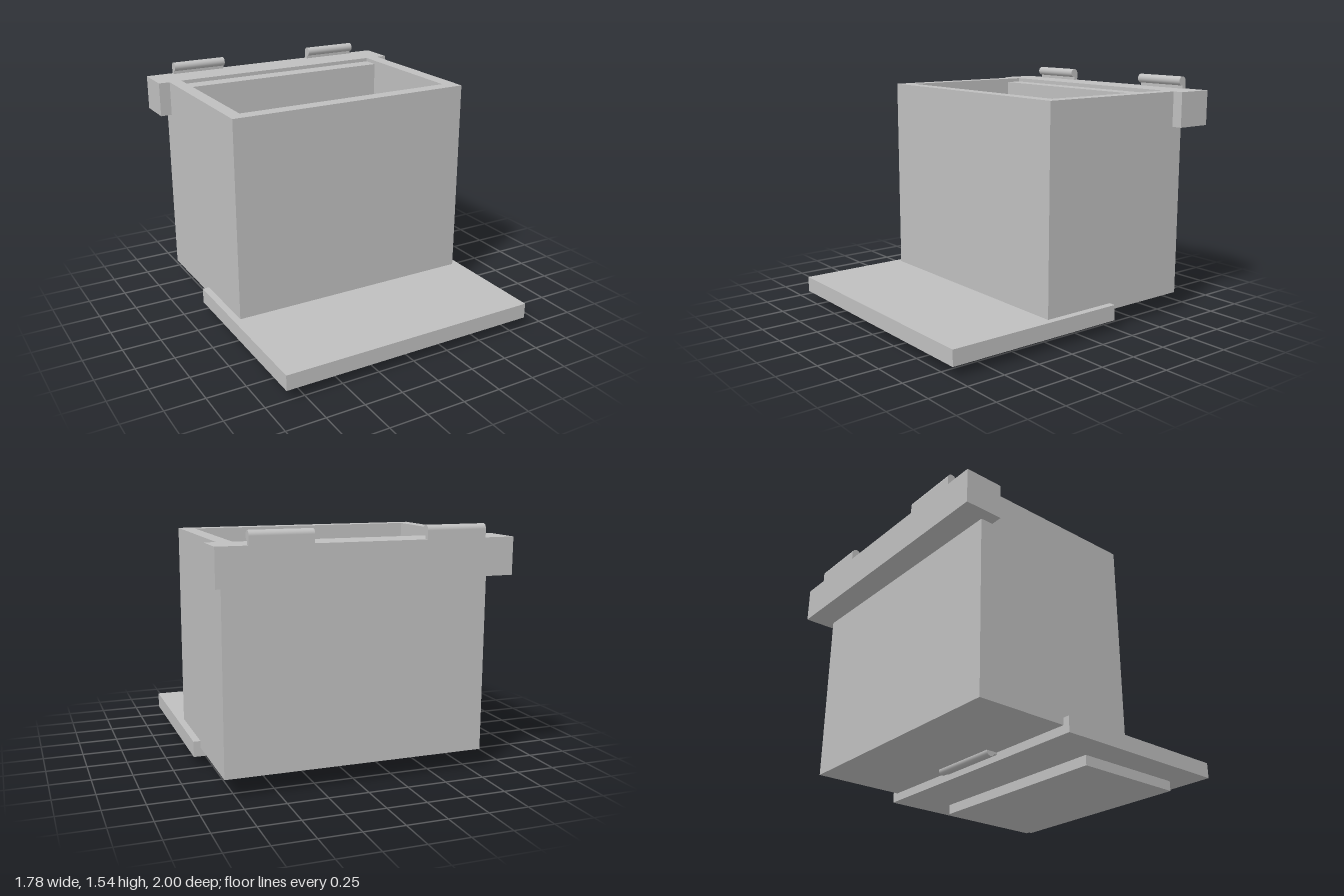
import * as THREE from 'three';

export function createModel() {
  const model = new THREE.Group();
  const grey = new THREE.MeshStandardMaterial({ color: 0xbfbfbf });
  grey.name = 'light grey';

  const add = (name, geometry, parent = model) => {
    const mesh = new THREE.Mesh(geometry, grey);
    mesh.name = name;
    parent.add(mesh);
    return mesh;
  };

  // Block given by its [min, max] on each axis
  const block = (name, [x0, x1], [y0, y1], [z0, z1], parent) =>
    add(name, new THREE.BoxGeometry(x1 - x0, y1 - y0, z1 - z0), parent)
      .position.set((x0 + x1) / 2, (y0 + y1) / 2, (z0 + z1) / 2);

  // Round bar along x
  const bar = (name, [x0, x1], y, z, radius, parent) => {
    const geometry = new THREE.CylinderGeometry(radius, radius, x1 - x0, 32);
    geometry.rotateZ(Math.PI / 2);
    add(name, geometry, parent).position.set((x0 + x1) / 2, y, z);
  };

  // Corner loop of a rectangle on the ground plane (shape y is -z)
  const corners = ([x0, x1], [z0, z1]) =>
    [[x0, -z1], [x1, -z1], [x1, -z0], [x0, -z0]].map(([x, y]) => new THREE.Vector2(x, y));

  // Open container: walls, floor and the lowered ledge along the back
  const container = new THREE.Group();
  container.name = 'container';
  model.add(container);
  const outline = new THREE.Shape(corners([-0.82, 0.82], [-0.835, 0.28]));
  outline.holes.push(new THREE.Path(corners([-0.735, 0.73], [-0.76, 0.19])));
  const walls = new THREE.ExtrudeGeometry(outline, { depth: 1.34, bevelEnabled: false });
  walls.rotateX(-Math.PI / 2);
  walls.translate(0, 0.12, 0);
  add('walls', walls, container);
  block('floor', [-0.735, 0.73], [0.12, 0.21], [-0.76, 0.19], container);
  block('backLedge', [-0.735, 0.73], [0.21, 1.435], [-0.76, -0.65], container);

  // Collar around the upper back: rear rail and two side cheeks
  const collar = new THREE.Group();
  collar.name = 'collar';
  model.add(collar);
  block('rearRail', [-0.895, 0.89], [1.235, 1.46], [-1, -0.835], collar);
  block('rightCheek', [-0.895, -0.82], [1.235, 1.46], [-0.835, -0.755], collar);
  block('leftCheek', [0.82, 0.89], [1.235, 1.46], [-0.835, -0.755], collar);

  // Hinge knuckles on the collar, each on a short tab
  for (const [side, span] of [['right', [-0.71, -0.34]], ['left', [0.335, 0.705]]]) {
    const hinge = new THREE.Group();
    hinge.name = side + 'Hinge';
    model.add(hinge);
    bar('knuckle', span, 1.51, -0.97, 0.03, hinge);
    block('tab', span, [1.455, 1.51], [-1, -0.97], hinge);
  }

  // Base plate with the raised panel underneath
  block('basePlate', [-0.865, 0.865], [0.065, 0.165], [-0.23, 1]);
  block('underPanel', [-0.665, 0.66], [0, 0.066], [0.1, 0.86]);

  // Catch behind the base plate
  const latch = new THREE.Group();
  latch.name = 'latch';
  model.add(latch);
  bar('latchBar', [-0.24, 0.24], 0.117, -0.278, 0.03, latch);
  block('latchTab', [-0.24, 0.24], [0.105, 0.125], [-0.278, -0.225], latch);

  return model;
}
